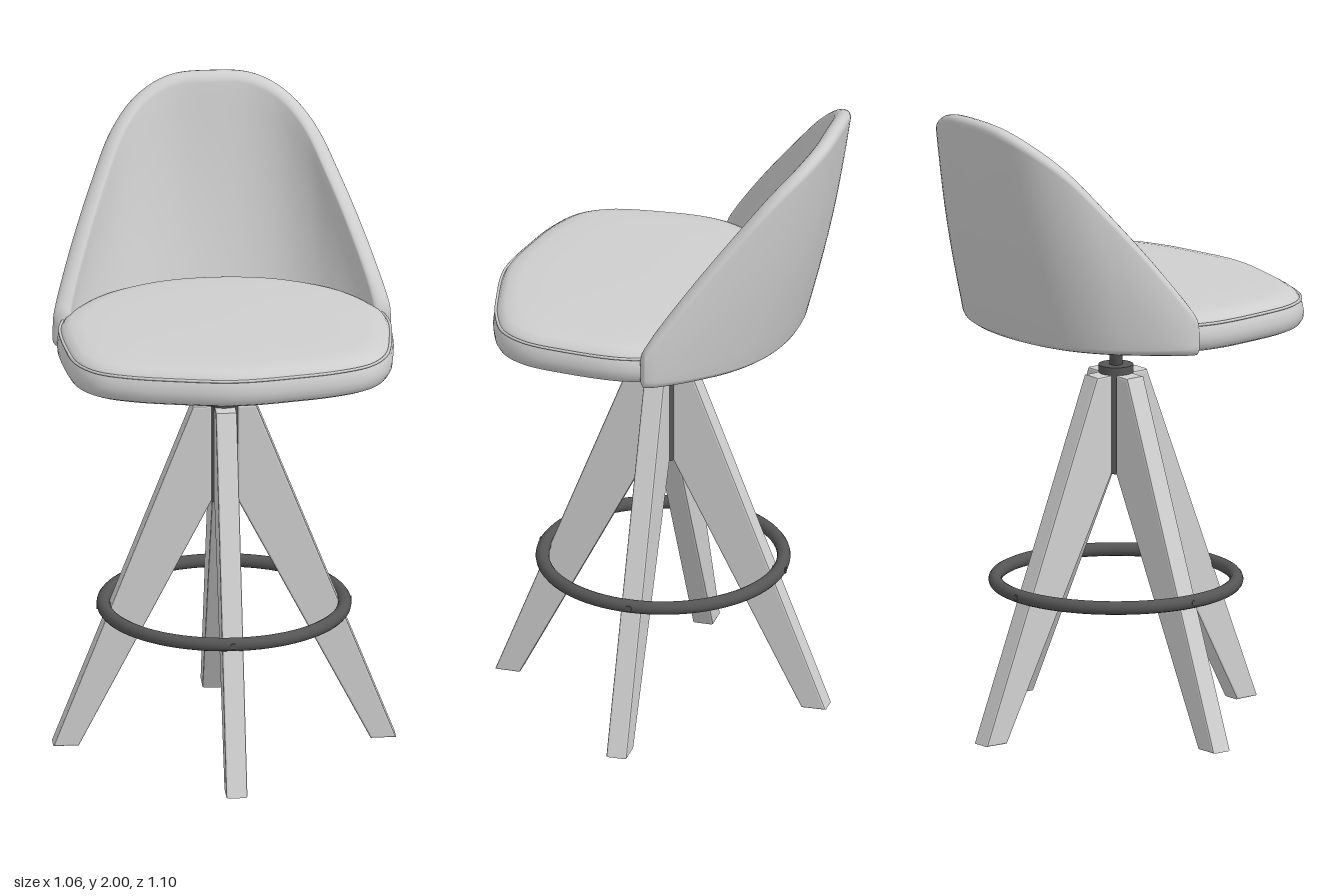
import * as THREE from 'three';

const V = (x, y, z) => new THREE.Vector3(x, y, z);

// Skin a list of closed rings (each the same length) into one smooth surface
function loft(rings) {
  const n = rings[0].length, pos = [], index = [];
  rings.forEach(r => r.forEach(p => pos.push(p.x, p.y, p.z)));
  for (let i = 0; i < rings.length - 1; i++) {
    for (let j = 0; j < n; j++) {
      const a = i * n + j, b = i * n + (j + 1) % n;
      index.push(a, b, a + n, b, b + n, a + n);
    }
  }
  const g = new THREE.BufferGeometry();
  g.setAttribute('position', new THREE.Float32BufferAttribute(pos, 3));
  g.setIndex(index);
  g.computeVertexNormals();
  return g;
}

// Mirror a half list of [x, y, z] (first point on x = 0) into a full curve from -x to +x
function mirroredCurve(half) {
  const right = half.map(p => V(...p));
  const left = half.slice(1).reverse().map(p => V(-p[0], p[1], p[2]));
  return new THREE.CatmullRomCurve3([...left, ...right]);
}

export function createModel() {
  const upholstery = new THREE.MeshStandardMaterial({ color: 0xcecece });
  upholstery.name = 'upholstery';
  const wood = new THREE.MeshStandardMaterial({ color: 0xd0d0d0 });
  wood.name = 'pale wood';
  const metal = new THREE.MeshStandardMaterial({ color: 0x555555 });
  metal.name = 'dark metal';

  const model = new THREE.Group();
  model.name = 'barStool';
  const add = (name, geo, mat, parent = model, x = 0, y = 0, z = 0) => {
    const m = new THREE.Mesh(geo, mat);
    m.name = name;
    m.position.set(x, y, z);
    parent.add(m);
    return m;
  };

  // Seat cushion: one outline, scaled through a rounded edge profile
  const half = [[0.2, 0.508], [0.33, 0.475], [0.43, 0.425], [0.487, 0.34], [0.512, 0.2], [0.518, 0.02],
    [0.49, -0.08], [0.42, -0.19], [0.33, -0.27], [0.18, -0.345]];
  const outline = new THREE.CatmullRomCurve3([
    V(0, 0, 0.538), ...half.map(([x, z]) => V(x, 0, z)),
    V(0, 0, -0.37), ...half.slice().reverse().map(([x, z]) => V(-x, 0, z)),
  ], true);
  const cz = 0.08;
  const seatRing = (inset, y) => outline.getPoints(96).slice(0, 96).map(p => {
    const k = 1 - inset / 0.5;
    return V(p.x * k, y, cz + (p.z - cz) * k);
  });
  const seatProfile = [[0.5, 1.277], [0.06, 1.277], [0.03, 1.278], [0.012, 1.287], [0.002, 1.305], [0, 1.325],
    [0.003, 1.345], [0.01, 1.364], [0.02, 1.379], [0.04, 1.39], [0.08, 1.397], [0.2, 1.401], [0.5, 1.404]];
  add('seatCushion', loft(seatProfile.map(([i, y]) => seatRing(i, y))), upholstery);

  // Piping along the seat edge
  const pipe = new THREE.CatmullRomCurve3(seatRing(0.009, 1.366), true);
  add('seatPiping', new THREE.TubeGeometry(pipe, 120, 0.005, 6, true), upholstery);

  // Backrest shell: rounded sections between a bottom curve and a slanted rim curve
  const rim = mirroredCurve([[0, 1.972, -0.522], [0.12, 1.964, -0.516], [0.215, 1.925, -0.478], [0.295, 1.85, -0.405],
    [0.365, 1.72, -0.3], [0.435, 1.56, -0.18], [0.485, 1.42, -0.085], [0.502, 1.355, -0.045]]);
  const base = mirroredCurve([[0, 1.3, -0.37], [0.12, 1.3, -0.36], [0.235, 1.3, -0.325], [0.33, 1.3, -0.265],
    [0.405, 1.3, -0.19], [0.455, 1.3, -0.13], [0.488, 1.3, -0.08], [0.502, 1.3, -0.045]]);
  const sections = [], N = 96;
  for (let i = 0; i <= N; i++) {
    // denser sections towards the two tips
    const u = 0.5 - 0.5 * Math.cos(Math.PI * i / N);
    const t = Math.abs(2 * u - 1);
    const taper = t < 0.95 ? 1 : Math.sqrt(Math.max(0, 1 - ((t - 0.95) / 0.05) ** 2));
    const b = base.getPoint(u), r = rim.getPoint(u);
    const d = base.getPoint(Math.min(1, u + 0.002)).sub(base.getPoint(Math.max(0, u - 0.002)));
    const out = V(d.z, 0, -d.x).normalize();
    const up = r.clone().sub(b).normalize();
    const low = THREE.MathUtils.lerp(0.046, 0.027, t ** 2), high = 0.027;
    const point = (s, side, lift) => b.clone().lerp(r, s)
      .addScaledVector(out, side * taper * THREE.MathUtils.lerp(low, high, s)
        + 0.014 * Math.sin(Math.PI * s) * (1 - t))
      .addScaledVector(up, lift * taper);
    const ring = [];
    for (let k = 0; k <= 10; k++) ring.push(point(k / 10, 1, 0));
    for (let k = 1; k < 8; k++) ring.push(point(1, Math.cos(Math.PI * k / 8), 0.028 * Math.sin(Math.PI * k / 8)));
    for (let k = 10; k >= 0; k--) ring.push(point(k / 10, -1, 0));
    for (let k = 1; k < 8; k++) ring.push(point(0, -Math.cos(Math.PI * k / 8), -0.026 * Math.sin(Math.PI * k / 8)));
    sections.push(ring);
  }
  add('backrestShell', loft(sections), upholstery);

  // Base, set slightly forward of the centre
  const frame = new THREE.Group();
  frame.name = 'base';
  frame.position.z = 0.024;
  model.add(frame);

  // Four splayed wooden legs
  const e = 0.006;
  const profile = new THREE.Shape([[0.046, 1.11 - e], [0.046, 0.8], [0.45 + e, e], [0.53 - e, e], [0.1 - e, 1.11 - e]]
    .map(([x, y]) => new THREE.Vector2(x, y)));
  const legGeo = new THREE.ExtrudeGeometry(profile,
    { depth: 0.066 - 2 * e, bevelThickness: e, bevelSize: e, bevelSegments: 2 });
  legGeo.translate(0, 0, -0.033 + e);
  ['leftLeg', 'backLeg', 'rightLeg', 'frontLeg'].forEach((name, i) => {
    const leg = new THREE.Group();
    leg.name = name;
    leg.rotation.y = i * Math.PI / 2;
    frame.add(leg);
    add(name + 'Wood', legGeo, wood, leg);
    // bolt holding the foot ring
    const bolt = add(name + 'Bolt', new THREE.CylinderGeometry(0.01, 0.01, 0.05, 12), metal, leg, 0.37, 0.45, 0);
    bolt.rotation.z = Math.PI / 2;
  });

  // Foot ring
  const ring = add('footRing', new THREE.TorusGeometry(0.373, 0.021, 14, 80), metal, frame, 0, 0.45, 0);
  ring.rotation.x = Math.PI / 2;

  // Hub between the legs, with its collar
  add('hub', new THREE.CylinderGeometry(0.05, 0.05, 0.33, 32), metal, frame, 0, 0.96, 0);
  add('hubCollar', new THREE.CylinderGeometry(0.054, 0.054, 0.025, 32), metal, frame, 0, 1.122, 0);

  // Swivel stem and flared head
  const stem = [[0, 1.13], [0.02, 1.13], [0.02, 1.185], [0.034, 1.19], [0.038, 1.2], [0.038, 1.215], [0.065, 1.222],
    [0.105, 1.248], [0.112, 1.255], [0, 1.255]].map(([x, y]) => new THREE.Vector2(x, y));
  add('swivelStem', new THREE.LatheGeometry(stem, 32), metal, frame);

  // Mounting plate with corner bolts
  add('mountingPlate', new THREE.BoxGeometry(0.33, 0.02, 0.33), metal, frame, 0, 1.268, 0);
  for (const sx of [-1, 1]) for (const sz of [-1, 1])
    add('plateBolt', new THREE.CylinderGeometry(0.02, 0.016, 0.014, 12), metal, frame, sx * 0.14, 1.256, sz * 0.14);

  return model;
}
